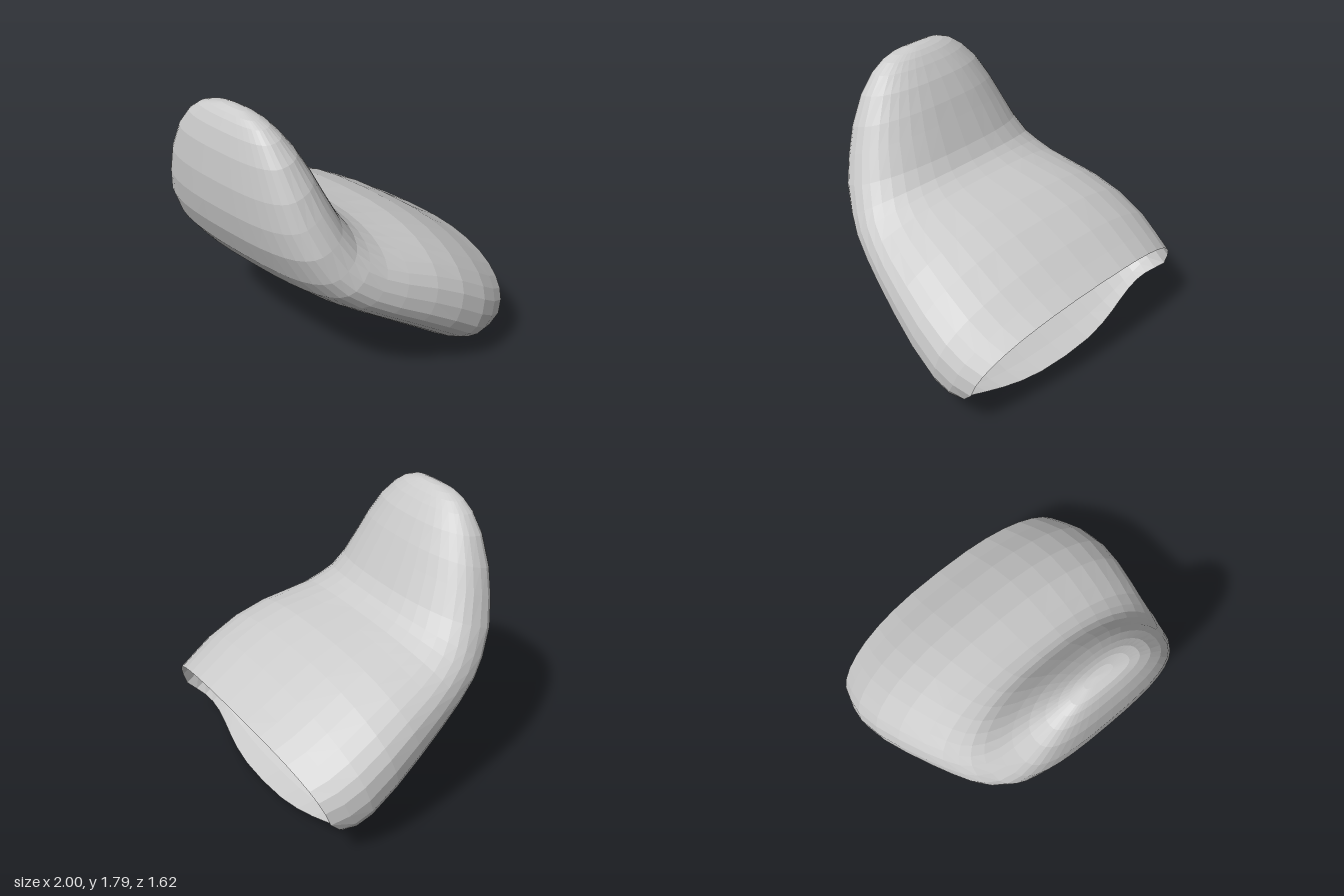
import * as THREE from 'three';

// Cross-sections from the open rim to the closed tip:
// [back z, back y, front z, front y, half width]
const SECTIONS = [
  [-0.81, 0.64, -0.58, 0.0, 0.945],
  [-0.69, 0.715, -0.45, 0.035, 0.98],
  [-0.55, 0.81, -0.32, 0.1, 1.0],
  [-0.36, 0.915, -0.14, 0.225, 0.985],
  [-0.18, 0.985, 0.05, 0.35, 0.94],
  [0.0, 1.025, 0.25, 0.48, 0.88],
  [0.1, 1.05, 0.42, 0.595, 0.83],
  [0.17, 1.085, 0.57, 0.72, 0.785],
  [0.215, 1.12, 0.67, 0.84, 0.74],
  [0.27, 1.2, 0.76, 1.02, 0.685],
  [0.35, 1.37, 0.8, 1.18, 0.615],
  [0.4, 1.48, 0.815, 1.36, 0.55],
  [0.47, 1.61, 0.805, 1.55, 0.455],
  [0.53, 1.695, 0.78, 1.67, 0.36],
  [0.57, 1.742, 0.752, 1.735, 0.28],
  [0.6, 1.768, 0.73, 1.766, 0.205],
  [0.63, 1.785, 0.69, 1.785, 0.1],
  [0.66, 1.79, 0.66, 1.79, 0],
];
const SIDES = 36;
const ROUNDNESS = 2 / 2.5; // superellipse: rounded but slightly boxy
const FRONT_SHIFT = 0.18; // the widest line lies towards the front face

const soften = (v) => Math.sign(v) * Math.pow(Math.abs(v), ROUNDNESS);

function loftShell() {
  const positions = [];
  const indices = [];
  SECTIONS.forEach(([bz, by, fz, fy, w], i) => {
    // the rim is cut back at its lower corners, leaving a short middle lip
    const cut = [1, 0.4][i] || 0;
    for (let j = 0; j < SIDES; j++) {
      const a = (j / SIDES) * Math.PI * 2;
      const s = soften(Math.sin(a));
      const c = soften(Math.cos(a)) - FRONT_SHIFT * Math.sin(a) ** 2;
      const inset = cut * Math.sin(a) ** 2 * (0.03 + 0.22 * Math.max(0, -Math.cos(a)));
      positions.push(
        w * s,
        (by + fy) / 2 + ((by - fy) / 2) * c + inset * 0.4,
        (bz + fz) / 2 + ((bz - fz) / 2) * c + inset
      );
    }
  });
  for (let i = 0; i < SECTIONS.length - 1; i++) {
    for (let j = 0; j < SIDES; j++) {
      const k = (j + 1) % SIDES;
      const p = i * SIDES;
      const q = p + SIDES;
      indices.push(p + j, q + j, p + k);
      if (i < SECTIONS.length - 2) indices.push(p + k, q + j, q + k);
    }
  }
  const geometry = new THREE.BufferGeometry();
  geometry.setAttribute('position', new THREE.Float32BufferAttribute(positions, 3));
  geometry.setIndex(indices);
  geometry.computeVertexNormals();
  return geometry;
}

export function createModel() {
  const group = new THREE.Group();
  group.name = 'bentHood';
  // Hollow bent shell, open at the lower back
  const shell = new THREE.Mesh(
    loftShell(),
    new THREE.MeshStandardMaterial({ color: 0xcccccc, flatShading: true, side: THREE.DoubleSide })
  );
  shell.name = 'hoodShell';
  group.add(shell);
  return group;
}
